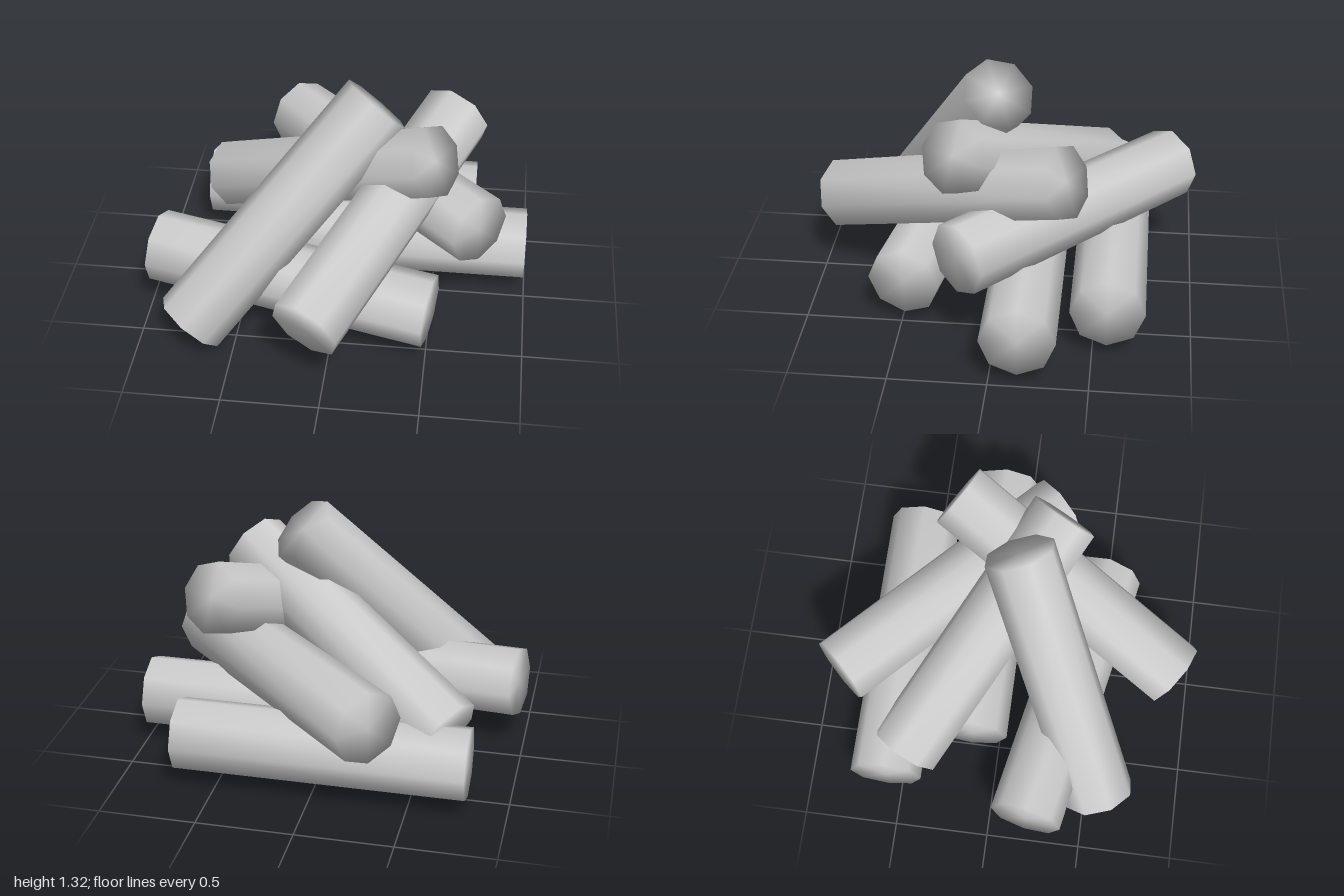
import * as THREE from 'three';
import { mergeVertices } from 'three/addons/utils/BufferGeometryUtils.js';

const RADIUS = 0.19, LENGTH = 1.5;

// Eight-sided log along z, with normals smoothed over sides and ends
function logGeometry() {
  let geo = new THREE.CylinderGeometry(RADIUS, RADIUS, LENGTH, 8);
  geo.rotateX(Math.PI / 2);
  geo.deleteAttribute('uv');
  geo.deleteAttribute('normal');
  geo = mergeVertices(geo);
  geo.computeVertexNormals();
  return geo;
}

// Each log: name, centre, direction of its axis
const LOGS = [
  ['backBaseLog', [-0.045, 0.255, -0.573], [1, 0, 0]],
  ['middleBaseLog', [0.24, 0.255, -0.145], [1, 0, 0]],
  ['frontBaseLog', [-0.223, 0.295, 0.343], [1.475, -0.09, 0.285]],
  ['crossLog', [0.2, 0.557, -0.345], [0.72, 0, 0.69]],
  ['frontSlopingLog', [0.247, 0.67, 0.275], [0.44, 0.34, -0.83]],
  ['backSlopingLog', [-0.085, 0.68, -0.13], [0.78, 0.42, 0.465]],
  ['leaningLog', [-0.27, 0.663, 0.3], [0.605, 0.7, -0.37]],
];

export function createModel() {
  const group = new THREE.Group();
  group.name = 'logPile';
  const geometry = logGeometry();
  const material = new THREE.MeshStandardMaterial({ color: 0xcccccc });

  for (const [name, centre, direction] of LOGS) {
    const log = new THREE.Mesh(geometry, material);
    log.name = name;
    log.position.set(...centre);
    log.lookAt(new THREE.Vector3(...direction).add(log.position));
    group.add(log);
  }
  return group;
}
